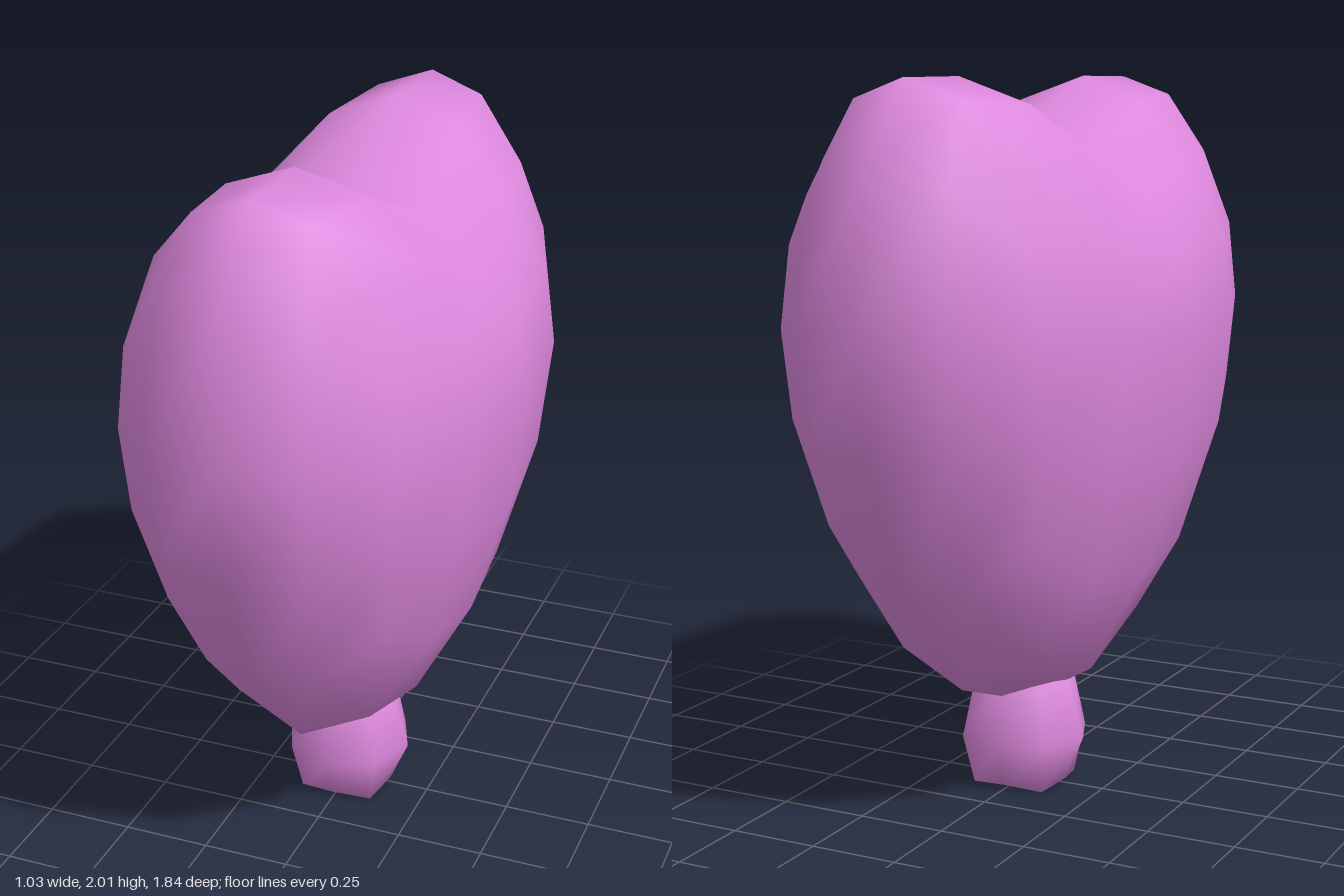
import * as THREE from 'three';
import { mergeVertices } from 'three/addons/utils/BufferGeometryUtils.js';

// Even quad ball made from a subdivided cube; shape(d) maps each unit direction to a point
function shapedBall(segments, shape) {
  let geometry = new THREE.BoxGeometry(2, 2, 2, segments, segments, segments);
  geometry.deleteAttribute('normal');
  geometry.deleteAttribute('uv');
  geometry = mergeVertices(geometry, 1e-4);
  const pos = geometry.attributes.position;
  const d = new THREE.Vector3();
  const even = (v) => Math.tan((v * Math.PI) / 4);
  for (let i = 0; i < pos.count; i++) {
    d.fromBufferAttribute(pos, i);
    d.set(even(d.x), even(d.y), even(d.z)).normalize();
    pos.setXYZ(i, ...shape(d));
  }
  geometry.computeVertexNormals();
  return geometry;
}

// Slightly fuller than a plain ellipse
const full = (v) => Math.sign(v) * Math.pow(Math.abs(v), 0.93);

// Heart: two lobes raised along z, tapering to a point below
function heartPoint(d) {
  let y = 1.33 + 0.07 * d.z * d.z;
  if (d.y > 0) {
    y += 0.51 * d.y + 0.57 * d.y * Math.abs(d.z) * (1 - 0.6 * d.x * d.x);
  } else {
    y += d.y * (0.82 + 0.28 * d.y * d.y);
  }
  return [0.515 * full(d.x), y, 0.92 * full(d.z)];
}

// Knot: small ball with its underside pushed in
function knotPoint(d) {
  const s = -d.y;
  const y = s < 0
    ? 0.14 - 0.27 * s
    : 0.14 - 0.2425 * Math.min(s, 0.5774) + 0.1 * Math.max(0, s - 0.5774);
  return [0.187 * d.x, y, 0.187 * d.z];
}

export function createModel() {
  const group = new THREE.Group();
  group.name = 'heartBalloon';
  const material = new THREE.MeshStandardMaterial({ color: 0xdd88dd });

  const heart = new THREE.Mesh(shapedBall(4, heartPoint), material);
  heart.name = 'heartBody';

  const knot = new THREE.Mesh(shapedBall(2, knotPoint), material);
  knot.name = 'knot';

  group.add(heart, knot);
  return group;
}
